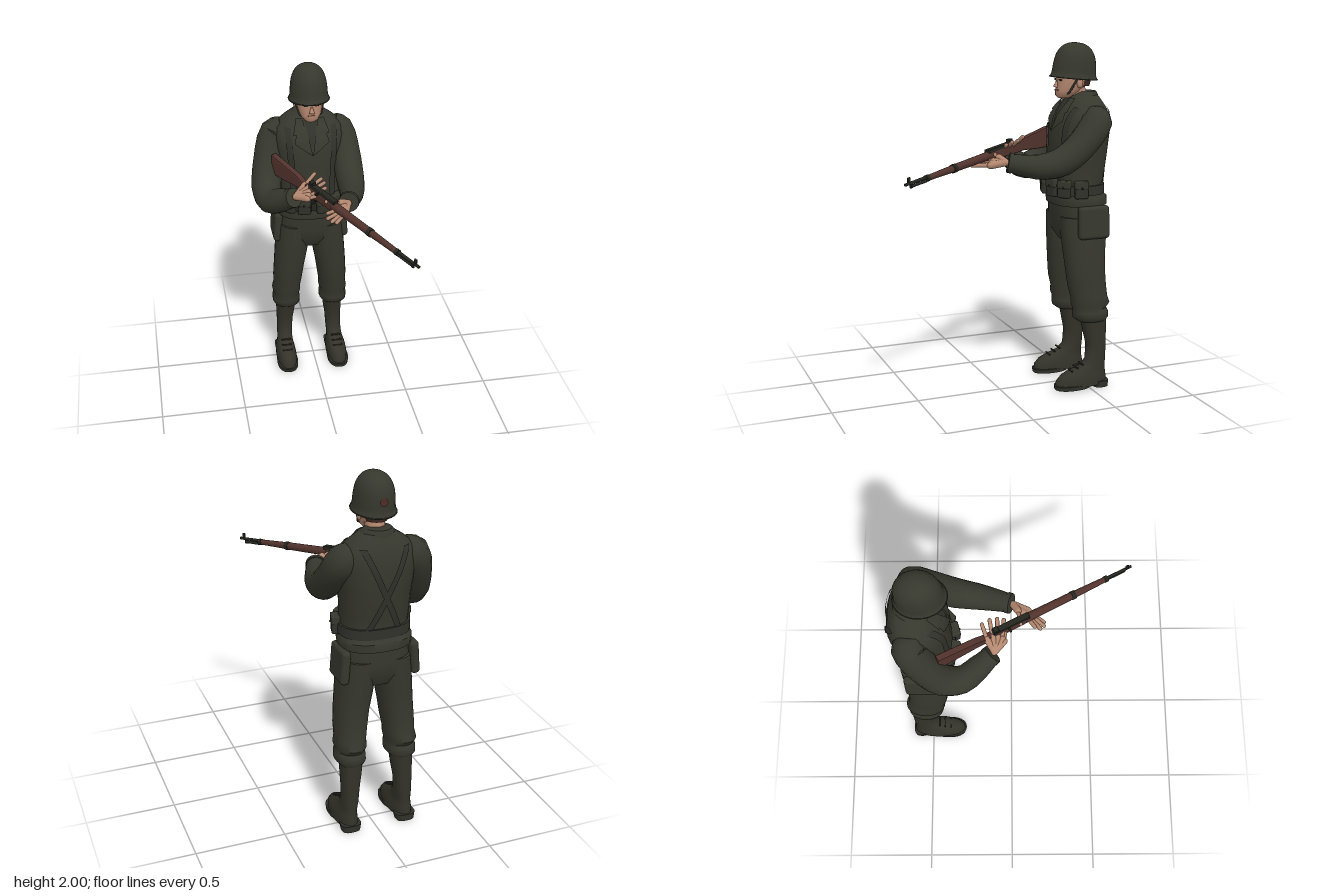
import * as THREE from 'three';
import { toCreasedNormals } from 'three/addons/utils/BufferGeometryUtils.js';
import { RoundedBoxGeometry } from 'three/addons/geometries/RoundedBoxGeometry.js';

const V = (x, y, z) => new THREE.Vector3(x, y, z);
const material = (name, color, side = THREE.FrontSide) => {
  const m = new THREE.MeshStandardMaterial({ color, side });
  m.name = name;
  return m;
};

// torso cross-sections: y, centre z, half width, half depth
const TORSO = [
  [1.085, -0.485, 0.195, 0.16], [1.13, -0.482, 0.2, 0.163], [1.15, -0.472, 0.185, 0.148],
  [1.2, -0.468, 0.182, 0.146], [1.28, -0.478, 0.185, 0.152], [1.4, -0.488, 0.19, 0.157],
  [1.52, -0.495, 0.205, 0.16], [1.58, -0.5, 0.208, 0.146], [1.63, -0.508, 0.19, 0.126],
  [1.67, -0.515, 0.14, 0.1], [1.705, -0.515, 0.085, 0.083],
];

export function createModel() {
  const root = new THREE.Group();
  const body = new THREE.Group();
  body.name = 'body';
  body.position.x = -0.02;
  root.add(body);

  const cloth = material('olive cloth', 0x36372d, THREE.DoubleSide);
  const webbing = material('dark webbing', 0x30312a, THREE.DoubleSide);
  const leather = material('boot leather', 0x33332a);
  const skin = material('skin', 0xb58870);
  const wood = material('rifle wood', 0x52332d);
  const metal = material('dark metal', 0x24261f);
  const hairMat = material('brown hair', 0x3f2a23);
  const lip = material('lips', 0x8c5c4e);
  const patchMat = material('red patch', 0x4a2a24);

  const add = (parent, name, geo, mat) => {
    const m = new THREE.Mesh(geo, mat);
    m.name = name;
    parent.add(m);
    return m;
  };

  // closed skin through rings of points
  const skinRings = (rings) => {
    const n = rings[0].length, pos = [], idx = [];
    rings.forEach((r) => r.forEach((p) => pos.push(p.x, p.y, p.z)));
    for (let i = 0; i < rings.length - 1; i++) for (let j = 0; j < n; j++) {
      const a = i * n + j, b = i * n + (j + 1) % n;
      idx.push(a, a + n, b, b, a + n, b + n);
    }
    [rings[0], rings.at(-1)].forEach((r, k) => {
      const c = r.reduce((s, p) => s.add(p), V(0, 0, 0)).divideScalar(n);
      const ci = pos.length / 3, o = k ? (rings.length - 1) * n : 0;
      pos.push(c.x, c.y, c.z);
      for (let j = 0; j < n; j++) {
        const q = o + (j + 1) % n;
        idx.push(ci, k ? q : o + j, k ? o + j : q);
      }
    });
    const g = new THREE.BufferGeometry();
    g.setAttribute('position', new THREE.Float32BufferAttribute(pos, 3));
    g.setIndex(idx);
    return toCreasedNormals(g, 0.9);
  };

  // horizontal superellipse sections: [y, cx, cz, rx, rz]
  const loft = (rows, power = 2.4, n = 28) => skinRings(rows.map(([y, cx, cz, rx, rz]) =>
    Array.from({ length: n }, (_, j) => {
      const t = j / n * Math.PI * 2, c = Math.cos(t), s = Math.sin(t), e = 2 / power;
      return V(cx + rx * Math.sign(c) * Math.abs(c) ** e, y, cz + rz * Math.sign(s) * Math.abs(s) ** e);
    })));

  // round limb through [x, y, z, radius]
  const limb = (pts, steps = 18, n = 18) => {
    const curve = new THREE.CatmullRomCurve3(pts.map((p) => V(p[0], p[1], p[2])));
    const rings = [];
    for (let i = 0; i <= steps; i++) {
      const t = i / steps, f = t * (pts.length - 1), k = Math.min(Math.floor(f), pts.length - 2);
      const r = THREE.MathUtils.lerp(pts[k][3], pts[k + 1][3], f - k);
      const p = curve.getPoint(t), d = curve.getTangent(t);
      const u = V(1, 0, 0).addScaledVector(d, -d.x).normalize(), v = u.clone().cross(d);
      rings.push(Array.from({ length: n }, (_, j) => {
        const a = j / n * Math.PI * 2;
        return p.clone().addScaledVector(u, r * Math.cos(a)).addScaledVector(v, r * Math.sin(a));
      }));
    }
    return skinRings(rings);
  };

  const rod = (parent, name, a, b, r, mat) => {
    const d = b.clone().sub(a);
    const m = add(parent, name, new THREE.CapsuleGeometry(r, d.length(), 4, 8), mat);
    m.position.copy(a).addScaledVector(d, 0.5);
    m.quaternion.setFromUnitVectors(V(0, 1, 0), d.normalize());
    return m;
  };

  // thin cloth panel laid on the torso; corners are [x, y], side is 1 front, -1 back
  const torsoZ = (x, y, side) => {
    const k = Math.max(0, Math.min(TORSO.length - 2, TORSO.findIndex((r) => r[0] > y) - 1));
    const a = TORSO[k], b = TORSO[k + 1], t = (y - a[0]) / (b[0] - a[0]);
    const [, cz, rx, rz] = a.map((v, i) => v + (b[i] - v) * t);
    return cz + side * rz * Math.max(0, 1 - Math.min(1, Math.abs(x) / rx) ** 2.4) ** (1 / 2.4);
  };
  const panel = (name, c, side, lift, mat) => {
    const g = new THREE.PlaneGeometry(1, 1, 6, 16), p = g.attributes.position;
    for (let i = 0; i < p.count; i++) {
      const u = p.getX(i) + 0.5, v = p.getY(i) + 0.5;
      const at = (k) => (c[0][k] * (1 - u) + c[1][k] * u) * (1 - v) + (c[3][k] * (1 - u) + c[2][k] * u) * v;
      p.setXYZ(i, at(0), at(1), torsoZ(at(0), at(1), side) + side * lift);
    }
    g.computeVertexNormals();
    add(body, name, g, mat);
  };

  // jacket, neck and collar
  add(body, 'jacket', loft(TORSO.map(([y, z, rx, rz]) => [y, 0, z, rx, rz])), cloth);
  add(body, 'collar', loft([[1.66, 0, -0.51, 0.115, 0.095], [1.70, 0, -0.517, 0.092, 0.088],
    [1.725, 0, -0.523, 0.07, 0.07]], 2), cloth);
  rod(body, 'neck', V(0, 1.64, -0.5), V(0, 1.77, -0.465), 0.056, skin);
  panel('shirtFront', [[-0.004, 1.55], [0.004, 1.55], [0.045, 1.695], [-0.045, 1.695]], 1, 0.006, webbing);
  for (const s of [1, -1]) {
    panel('lapel', [[0, 1.5], [s * 0.1, 1.57], [s * 0.085, 1.62], [s * 0.03, 1.66]], 1, 0.012, cloth);
    panel('collarFlap', [[s * 0.03, 1.62], [s * 0.105, 1.615], [s * 0.08, 1.69], [s * 0.045, 1.695]], 1, 0.016, cloth);
    panel('frontStrap', [[s * 0.09, 1.2], [s * 0.125, 1.2], [s * 0.15, 1.645], [s * 0.115, 1.645]], 1, 0.009, webbing);
    panel('backStrap', [[-s * 0.1, 1.2], [-s * 0.065, 1.2], [s * 0.135, 1.645], [s * 0.1, 1.645]], -1, 0.009, webbing);
  }

  // belt and ammunition pouches
  add(body, 'belt', loft([[1.15, 0, -0.47, 0.196, 0.158], [1.205, 0, -0.47, 0.194, 0.157]]), webbing);
  add(body, 'buckle', new THREE.BoxGeometry(0.03, 0.045, 0.012), metal).position.set(0, 1.178, -0.312);
  for (const s of [1, -1]) for (const a of [0.27, 0.74, 1.3]) {
    const pouch = new THREE.Group();
    pouch.name = 'pouch';
    pouch.position.set(s * Math.sin(a) * 0.2, 1.185, -0.47 + Math.cos(a) * 0.165);
    pouch.rotation.y = s * a;
    add(pouch, 'pouchBody', new RoundedBoxGeometry(0.075, 0.095, 0.045, 2, 0.01), webbing);
    add(pouch, 'pouchFlap', new RoundedBoxGeometry(0.08, 0.045, 0.052, 2, 0.008), cloth).position.y = 0.03;
    add(pouch, 'pouchStud', new THREE.SphereGeometry(0.006, 8, 6), metal).position.set(0, 0.015, 0.027);
    body.add(pouch);
  }

  // trousers, pockets and boots
  add(body, 'trouserSeat', loft([[0.87, 0, -0.49, 0.12, 0.1], [0.93, 0, -0.487, 0.185, 0.135],
    [1.0, 0, -0.485, 0.192, 0.145], [1.1, 0, -0.48, 0.175, 0.145]]), cloth);
  for (const s of [1, -1]) {
    const side = (rows) => rows.map(([y, x, ...r]) => [y, s * x, ...r]);
    add(body, 'trouserLeg', loft(side([
      [0.405, 0.147, -0.525, 0.066, 0.085], [0.425, 0.147, -0.518, 0.084, 0.105], [0.46, 0.147, -0.515, 0.083, 0.107],
      [0.48, 0.145, -0.51, 0.076, 0.1], [0.51, 0.146, -0.515, 0.086, 0.116], [0.55, 0.142, -0.508, 0.082, 0.11],
      [0.62, 0.137, -0.495, 0.088, 0.115], [0.72, 0.127, -0.487, 0.092, 0.118], [0.82, 0.114, -0.485, 0.098, 0.126],
      [0.92, 0.104, -0.485, 0.1, 0.136], [1.02, 0.095, -0.485, 0.097, 0.14]]), 2.2), cloth);
    const pocket = add(body, 'sidePocket', new RoundedBoxGeometry(0.05, 0.19, 0.19, 3, 0.022), cloth);
    pocket.position.set(s * 0.196, 0.995, -0.505);
    pocket.rotation.z = s * 0.07;
    add(body, 'boot', loft(side([
      [0.02, 0.162, -0.456, 0.062, 0.16], [0.055, 0.162, -0.457, 0.062, 0.158], [0.085, 0.162, -0.468, 0.057, 0.142],
      [0.105, 0.161, -0.488, 0.05, 0.12], [0.13, 0.16, -0.525, 0.047, 0.082], [0.17, 0.158, -0.547, 0.047, 0.062],
      [0.26, 0.155, -0.551, 0.05, 0.06], [0.34, 0.15, -0.543, 0.057, 0.07], [0.44, 0.146, -0.532, 0.064, 0.082]]), 2.2), leather);
    add(body, 'sole', loft(side([[0.006, 0.162, -0.4, 0.064, 0.108], [0.03, 0.162, -0.4, 0.066, 0.112]]), 2.3), webbing);
    add(body, 'heel', loft(side([[0, 0.162, -0.575, 0.052, 0.045], [0.04, 0.162, -0.572, 0.058, 0.05]]), 3), webbing);
    for (let i = 0; i < 3; i++) {
      const lace = add(body, 'bootLace', new THREE.BoxGeometry(0.06, 0.007, 0.008), webbing);
      lace.position.set(s * 0.161, 0.113 + i * 0.017, -0.388 - i * 0.033);
    }
  }

  // head and face
  add(body, 'head', loft([[1.69, 0, -0.4, 0.03, 0.035], [1.705, 0, -0.402, 0.045, 0.052], [1.73, 0, -0.425, 0.062, 0.074],
    [1.765, 0, -0.44, 0.072, 0.086], [1.8, 0, -0.45, 0.077, 0.094], [1.86, 0, -0.455, 0.078, 0.098]], 2.2), skin);
  const nose = add(body, 'nose', new THREE.ConeGeometry(0.016, 0.052, 8), skin);
  nose.position.set(0, 1.776, -0.353);
  nose.rotation.x = -0.25;
  add(body, 'mouth', new THREE.BoxGeometry(0.042, 0.008, 0.008), lip).position.set(0, 1.735, -0.353);
  add(body, 'napeHair', loft([[1.755, 0, -0.5, 0.055, 0.052], [1.83, 0, -0.485, 0.08, 0.083]], 2), hairMat);
  for (const s of [1, -1]) {
    add(body, 'eye', new THREE.BoxGeometry(0.024, 0.009, 0.009), metal).position.set(s * 0.03, 1.793, -0.362);
    add(body, 'brow', new THREE.BoxGeometry(0.034, 0.007, 0.009), hairMat).position.set(s * 0.032, 1.808, -0.36);
    const ear = add(body, 'ear', new THREE.SphereGeometry(0.024, 10, 8), skin);
    ear.scale.set(0.45, 1.1, 0.8);
    ear.position.set(s * 0.08, 1.775, -0.46);
    rod(body, 'chinStrap', V(s * 0.088, 1.815, -0.45), V(s * 0.062, 1.725, -0.405), 0.006, webbing);
    rod(body, 'chinStrap', V(s * 0.062, 1.725, -0.405), V(0, 1.688, -0.385), 0.006, webbing);
  }

  // helmet
  const helmet = new THREE.Group();
  helmet.name = 'helmet';
  helmet.position.set(0, 1.8, -0.457);
  helmet.rotation.x = -0.09;
  body.add(helmet);
  const profile = new THREE.SplineCurve([[0.95, -0.003], [1, 0], [0.93, 0.025], [0.9, 0.07], [0.82, 0.125], [0.62, 0.17],
    [0.32, 0.194], [0, 0.2]].map(([x, y]) => new THREE.Vector2(x, y))).getPoints(22);
  profile.at(-1).x = 0;
  add(helmet, 'helmetShell', new THREE.LatheGeometry(profile, 32).scale(0.116, 1, 0.14), cloth);
  const rim = add(helmet, 'helmetRim', new THREE.TorusGeometry(1, 0.03, 6, 32).rotateX(Math.PI / 2), webbing);
  rim.scale.set(0.115, 0.12, 0.139);
  const mark = add(helmet, 'helmetPatch', new THREE.CircleGeometry(0.022, 12), patchMat);
  mark.position.set(0, 0.082, -0.13);
  mark.rotation.set(0.2, Math.PI, 0);

  // arms and cuffs
  const arms = {
    right: [[-0.15, 1.6, -0.52, 0.07], [-0.205, 1.565, -0.525, 0.095], [-0.255, 1.43, -0.465, 0.09], [-0.285, 1.3, -0.37, 0.086],
      [-0.275, 1.27, -0.265, 0.076], [-0.22, 1.315, -0.175, 0.066], [-0.165, 1.365, -0.1, 0.05]],
    left: [[0.11, 1.6, -0.52, 0.07], [0.158, 1.565, -0.515, 0.092], [0.187, 1.46, -0.43, 0.085], [0.19, 1.36, -0.3, 0.082],
      [0.178, 1.335, -0.18, 0.072], [0.152, 1.345, -0.08, 0.06], [0.125, 1.362, 0, 0.05]],
  };
  for (const [side, pts] of Object.entries(arms)) {
    add(root, side + 'Sleeve', limb(pts), cloth);
    const [a, b] = pts.slice(-2).map((p) => V(p[0], p[1], p[2]));
    const c = a.clone().lerp(b, 0.72);
    add(root, side + 'Cuff', limb([[...c, 0.058], [...b, 0.056]], 2), cloth);
  }

  // hands: each finger runs wrist, knuckle, tip
  const hand = (name, wrist, fingers) => {
    const g = new THREE.Group();
    g.name = name;
    root.add(g);
    for (const [k, t] of fingers) {
      rod(g, 'palm', wrist, V(...k), 0.02, skin);
      rod(g, 'finger', V(...k), V(...t), 0.011, skin);
    }
  };
  hand('rightHand', V(-0.155, 1.375, -0.09), [[[-0.1, 1.42, -0.13], [-0.04, 1.475, -0.155]], [[-0.085, 1.415, -0.1], [-0.01, 1.46, -0.115]],
    [[-0.085, 1.405, -0.075], [0, 1.455, -0.075]], [[-0.09, 1.395, -0.05], [0, 1.44, -0.04]], [[-0.1, 1.385, -0.04], [-0.03, 1.405, -0.03]]]);
  hand('leftHand', V(0.12, 1.362, 0.01), [[[0.075, 1.385, 0.035], [-0.01, 1.405, 0.05]], [[0.07, 1.365, 0.065], [-0.015, 1.375, 0.125]],
    [[0.075, 1.355, 0.075], [-0.02, 1.36, 0.155]], [[0.08, 1.348, 0.085], [0, 1.35, 0.175]], [[0.09, 1.345, 0.09], [0.025, 1.34, 0.175]]]);

  // rifle, built along its own z axis from butt to muzzle
  const rifle = new THREE.Group();
  rifle.name = 'rifle';
  rifle.position.set(-0.235, 1.452, -0.385);
  rifle.lookAt(0.357, 1.315, 0.655);
  root.add(rifle);
  const stock = new THREE.Shape([[0, -0.062], [0.1, -0.052], [0.24, -0.03], [0.32, -0.03], [0.56, -0.022], [0.56, 0.01], [0.34, 0.012],
    [0.28, 0.006], [0.22, 0.024], [0, 0.04]].map(([x, y]) => new THREE.Vector2(x, y)));
  add(rifle, 'stock', new THREE.ExtrudeGeometry(stock, { depth: 0.022, bevelSize: 0.008, bevelThickness: 0.008, bevelSegments: 2 })
    .translate(0, 0, -0.011).rotateY(-Math.PI / 2), wood);
  const bar = (name, r0, r1, z0, z1, y, mat) =>
    add(rifle, name, new THREE.CylinderGeometry(r1, r0, z1 - z0, 14).rotateX(Math.PI / 2), mat).position.set(0, y, (z0 + z1) / 2);
  bar('foreStock', 0.024, 0.021, 0.53, 0.83, 0, wood);
  bar('handGuard', 0.02, 0.015, 0.83, 1.05, 0, wood);
  bar('band', 0.024, 0.024, 0.82, 0.845, 0, metal);
  bar('frontBand', 0.018, 0.018, 1.035, 1.055, 0, metal);
  bar('barrel', 0.009, 0.008, 1.05, 1.21, 0.006, metal);
  bar('gasTube', 0.008, 0.008, 1.05, 1.17, -0.012, metal);
  const part = (name, w, h, d, y, z, x = 0) => add(rifle, name, new RoundedBoxGeometry(w, h, d, 2, 0.004), metal).position.set(x, y, z);
  part('receiver', 0.034, 0.032, 0.22, 0.02, 0.44);
  part('rearSight', 0.03, 0.02, 0.03, 0.042, 0.345);
  part('boltHandle', 0.03, 0.01, 0.012, 0.02, 0.42, -0.027);
  part('frontSight', 0.01, 0.03, 0.02, 0.024, 1.18);
  part('muzzleLug', 0.012, 0.02, 0.02, -0.012, 1.165);
  const guard = add(rifle, 'triggerGuard', new THREE.TorusGeometry(0.026, 0.004, 6, 14, Math.PI).rotateZ(Math.PI).rotateY(Math.PI / 2), metal);
  guard.position.set(0, -0.034, 0.37);

  return root;
}
